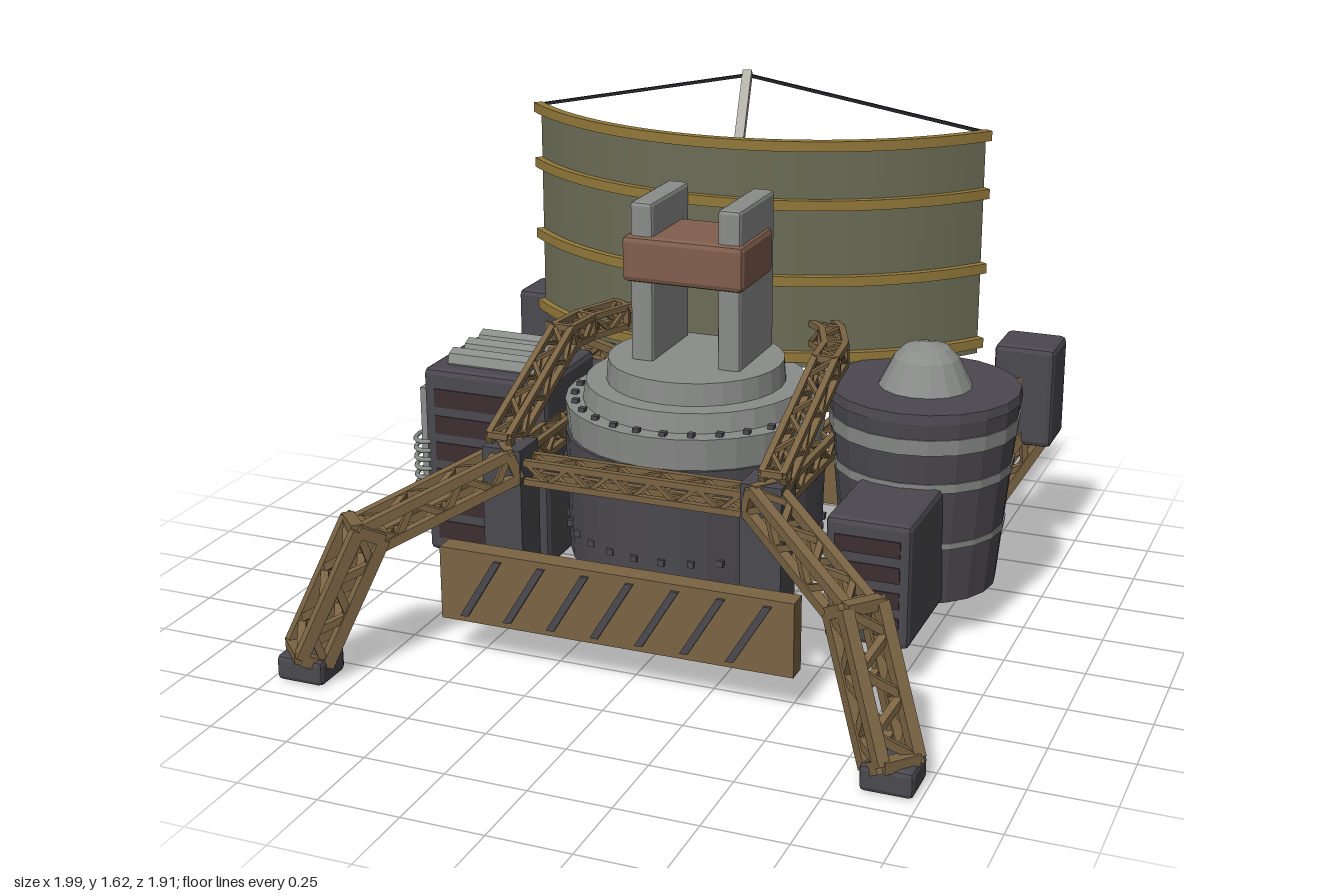
import * as THREE from 'three';
import { mergeGeometries } from 'three/addons/utils/BufferGeometryUtils.js';
import { RoundedBoxGeometry } from 'three/addons/geometries/RoundedBoxGeometry.js';

const mat = (name, color) => {
  const m = new THREE.MeshStandardMaterial({ color });
  m.name = name;
  return m;
};
const V = (x, y, z) => new THREE.Vector3(x, y, z);

export function createModel() {
  const model = new THREE.Group();
  const dark = mat('dark grey', 0x4b494f), grey = mat('grey', 0x8b8d8b), bronze = mat('bronze', 0x7a6443);
  const gold = mat('gold', 0x92783a), olive = mat('olive', 0x6b6c55), rust = mat('rust', 0x815f4e);
  const vent = mat('vent', 0x3c2e31), pale = mat('pale grey', 0xb3b2a9), black = mat('black', 0x222326);

  const CX = -0.03; // centre line of the hull
  const add = (name, geo, material) => {
    const m = new THREE.Mesh(geo, material);
    m.name = name;
    model.add(m);
    return m;
  };
  const faceted = (geo) => {
    const g = geo.index ? geo.toNonIndexed() : geo;
    g.computeVertexNormals();
    return g;
  };
  // box from its minimum and maximum corners, chamfered if c > 0
  const box = (name, material, x0, x1, y0, y1, z0, z1, c = 0) => {
    const s = [x1 - x0, y1 - y0, z1 - z0];
    const g = c ? faceted(new RoundedBoxGeometry(...s, 1, c)) : new THREE.BoxGeometry(...s);
    return add(name, g.translate((x0 + x1) / 2, (y0 + y1) / 2, (z0 + z1) / 2), material);
  };
  const drum = (name, material, x, z, y0, y1, r0, r1, sides) =>
    add(name, faceted(new THREE.CylinderGeometry(r1, r0, y1 - y0, sides)).translate(x, (y0 + y1) / 2, z), material);
  // square bar between two points
  const bar = (a, b, t) => {
    const m = new THREE.Matrix4().lookAt(a, b, V(0, 1, 0.001));
    m.setPosition(a.clone().lerp(b, 0.5));
    return new THREE.BoxGeometry(t, t, a.distanceTo(b)).applyMatrix4(m);
  };
  // lattice girder along a path: four chords, frames and zigzag braces
  const truss = (name, path, w, h, t = 0.024, pitch = 0.085) => {
    const rings = path.map((p, i) => {
      const d = path[Math.min(i + 1, path.length - 1)].clone().sub(path[Math.max(i - 1, 0)]).normalize();
      const side = d.clone().cross(V(0, 1, 0)).normalize();
      const up = side.clone().cross(d);
      return [[-1, -1], [1, -1], [1, 1], [-1, 1]].map(([a, b]) =>
        p.clone().addScaledVector(side, a * (w - t) / 2).addScaledVector(up, b * (h - t) / 2));
    });
    const parts = [];
    for (let i = 0; i + 1 < rings.length; i++) {
      const A = rings[i], B = rings[i + 1];
      const n = Math.max(1, Math.round(path[i].distanceTo(path[i + 1]) / pitch));
      for (let k = 0; k < 4; k++) {
        const j = (k + 1) % 4;
        parts.push(bar(A[k], B[k], t), bar(A[k], A[j], t), bar(B[k], B[j], t));
        for (let s = 0; s < n; s++) {
          const [p, q] = s % 2 ? [j, k] : [k, j];
          parts.push(bar(A[p].clone().lerp(B[p], s / n), A[q].clone().lerp(B[q], (s + 1) / n), t * 0.65));
        }
      }
    }
    return add(name, mergeGeometries(parts), bronze);
  };

  // hull drum and stepped turntable
  const TZ = -0.065;
  drum('hullDrum', dark, CX, TZ, 0.2, 0.6, 0.4, 0.41, 28);
  drum('turntableBase', grey, CX, TZ, 0.6, 0.7, 0.4, 0.41, 28);
  drum('turntableMiddle', grey, CX, TZ, 0.7, 0.76, 0.355, 0.345, 28);
  drum('turntableTop', grey, CX, TZ, 0.76, 0.83, 0.28, 0.275, 28);
  const bolts = [];
  for (let i = 0; i < 28; i++) {
    const a = (i + 0.5) / 28 * Math.PI * 2;
    for (const [r, y] of [[0.38, 0.703], [0.405, 0.5], [0.4, 0.3]])
      bolts.push(new THREE.BoxGeometry(0.02, 0.02, 0.02).translate(CX + r * Math.cos(a), y, TZ + r * Math.sin(a)));
  }
  add('bolts', mergeGeometries(bolts), dark);

  // twin uprights and the housing between them
  for (const x of [-0.17, 0.115]) box('upright', grey, x - 0.037, x + 0.037, 0.82, 1.33, -0.265, 0.04, 0.012);
  box('housing', rust, -0.23, 0.165, 1.08, 1.225, -0.22, 0.057, 0.018);

  // corner posts and deck girders
  const px = [-0.445, 0.38], pz = [-0.55, 0.41];
  for (const x of px) for (const z of pz) box('cornerPost', dark, x - 0.063, x + 0.063, 0.2, 0.65, z - 0.063, z + 0.063);
  for (const z of pz) truss('deckGirder', [V(px[0], 0.575, z), V(px[1], 0.575, z)], 0.085, 0.08, 0.02, 0.07);
  for (const x of px) truss('sideGirder', [V(x, 0.575, pz[0]), V(x, 0.575, pz[1])], 0.07, 0.08, 0.02, 0.07);

  // raised horseshoe girder, built as one mirrored path
  const half = [[0.435, 0.65, 0.43], [0.435, 0.855, -0.03], [0.42, 0.855, -0.16], [0.36, 0.855, -0.31],
    [0.25, 0.855, -0.42], [0.12, 0.855, -0.48]];
  truss('horseshoeGirder', [
    ...half.map(([x, y, z]) => V(CX + x, y, z)),
    ...half.slice().reverse().map(([x, y, z]) => V(CX - x, y, z)),
  ], 0.085, 0.085, 0.02, 0.08);

  // legs
  for (const s of [-1, 1]) {
    const root = CX + s * 0.4;
    const knee = V(s * 0.76 - 0.01, 0.425, 0.73), ankle = V(s * 0.905, 0.07, 0.865);
    truss('frontUpperLeg', [V(root, 0.6, 0.44), knee], 0.11, 0.11, 0.03);
    truss('frontLowerLeg', [knee.clone().add(V(0, 0.02, 0)), ankle], 0.15, 0.12, 0.036);
    box('frontFoot', dark, s * 0.905 - 0.077, s * 0.905 + 0.077, 0, 0.08, 0.785, 0.925, 0.015);
    const hx = s * 0.865 - 0.02, fx = s * 0.65 - 0.02;
    truss('rearUpperLeg', [V(root, 0.6, -0.56), V(hx, 0.6, -0.82)], 0.1, 0.09, 0.026);
    box('rearHipBlock', dark, hx - 0.1, hx + 0.1, 0.41, 0.75, -0.95, -0.76, 0.018);
    truss('rearLowerLeg', [V(hx, 0.43, -0.84), V(fx, 0.06, -0.67)], 0.13, 0.11, 0.032);
    box('rearFoot', dark, fx - 0.077, fx + 0.077, 0, 0.08, -0.73, -0.59, 0.015);
  }

  // striped skirt plates, front and rear
  const skirt = (name, x0, x1, y0, y1, z0, z1, face) => {
    box(name, bronze, x0, x1, y0, y1, z0, z1);
    const n = 7, step = (x1 - x0 - 0.13) / n, h = y1 - y0 - 0.04;
    const stripes = [];
    for (let i = 0; i < n; i++) {
      const cx = x0 + 0.065 + step * (i + 0.5);
      const sh = new THREE.Shape([[-0.07, -h / 2], [-0.045, -h / 2], [0.07, h / 2], [0.045, h / 2]]
        .map(([x, y]) => new THREE.Vector2(x, y)));
      stripes.push(new THREE.ExtrudeGeometry(sh, { depth: 0.009, bevelEnabled: false })
        .translate(cx, (y0 + y1) / 2, face));
    }
    add(name + 'Stripes', mergeGeometries(stripes), dark);
  };
  skirt('frontSkirt', -0.595, 0.53, 0.13, 0.362, 0.535, 0.6, 0.6);
  skirt('rearSkirt', -0.6, 0.54, 0.14, 0.31, -0.73, -0.68, -0.739);

  // tapered tank with pale bands and a domed cap
  const TX = 0.66, TKZ = -0.235;
  const tankR = (y) => 0.24 + (y - 0.14) / 0.63 * 0.06;
  drum('tank', dark, TX, TKZ, 0.14, 0.75, tankR(0.14), tankR(0.75), 20);
  drum('tankRim', dark, TX, TKZ, 0.74, 0.77, 0.3, 0.295, 20);
  for (const [a, b] of [[0.64, 0.69], [0.515, 0.545], [0.325, 0.345]])
    drum('tankBand', grey, TX, TKZ, a, b, tankR(a) + 0.004, tankR(b) + 0.004, 20);
  const cap = [[0, 0.77], [0.145, 0.77], [0.13, 0.8], [0.1, 0.86], [0.07, 0.89], [0, 0.908]];
  add('tankCap', faceted(new THREE.LatheGeometry(cap.map((p) => new THREE.Vector2(...p)), 16)).translate(TX, 0, TKZ), grey);

  // left vent box in front of the tank
  box('leftVentBox', dark, 0.53, 0.79, 0.14, 0.53, -0.1, 0.335, 0.018);
  for (let i = 0; i < 4; i++) box('leftVent', vent, 0.56, 0.76, 0.19 + i * 0.08, 0.24 + i * 0.08, 0.33, 0.339);

  // right engine box with vents, top pipes, side plate and coil
  box('engineBox', dark, -0.89, -0.46, 0.12, 0.745, -0.25, 0.13, 0.02);
  box('rearEngineBox', dark, -0.89, -0.46, 0.11, 0.64, -0.465, -0.24, 0.02);
  for (let i = 0; i < 6; i++) box('engineVent', vent, -0.85, -0.5, 0.17 + i * 0.09, 0.23 + i * 0.09, 0.125, 0.134);
  const pipe = (x0, x1, y, z, r) => add('topPipe',
    faceted(new THREE.CylinderGeometry(r, r, x1 - x0, 8)).rotateZ(Math.PI / 2).translate((x0 + x1) / 2, y, z), grey);
  for (const z of [-0.18, -0.08, 0.03]) pipe(-0.83, -0.5, 0.75, z, 0.042);
  pipe(-0.77, -0.56, 0.65, -0.34, 0.05);
  box('sidePlate', grey, -0.912, -0.885, 0.33, 0.67, -0.2, 0.11);
  for (let i = 0; i < 7; i++)
    add('coilRing', new THREE.TorusGeometry(0.045, 0.007, 6, 16).rotateX(Math.PI / 2).scale(1, 1, 1.5)
      .translate(-0.9, 0.31 + i * 0.031, 0.07), grey);

  // curved shield with gold bands
  const arcWall = (name, material, rIn, rOut, y0, y1, halfAngle) => {
    const mid = -Math.PI / 2 + 0.08, sh = new THREE.Shape();
    sh.absarc(-0.09, 1.263, rOut, mid - halfAngle, mid + halfAngle, false);
    sh.absarc(-0.09, 1.263, rIn, mid + halfAngle, mid - halfAngle, true);
    sh.closePath();
    add(name, new THREE.ExtrudeGeometry(sh, { depth: y1 - y0, bevelEnabled: false, curveSegments: 24 })
      .rotateX(-Math.PI / 2).translate(0, y0, 0), material);
  };
  arcWall('shield', olive, 0.962, 0.986, 0.74, 1.465, 0.86);
  for (const y of [0.78, 1.03, 1.275, 1.462]) arcWall('shieldBand', gold, 0.98, 1.01, y - 0.016, y + 0.016, 0.865);

  // mast and stay cables
  const tip = V(-0.087, 1.61, -0.66);
  add('mast', bar(V(-0.01, 1.14, -0.275), tip, 0.03), pale);
  for (const end of [V(-0.785, 1.47, -0.565), V(0.7, 1.47, -0.68)]) add('stayCable', bar(tip.clone().setY(1.6), end, 0.01), black);

  return model;
}
